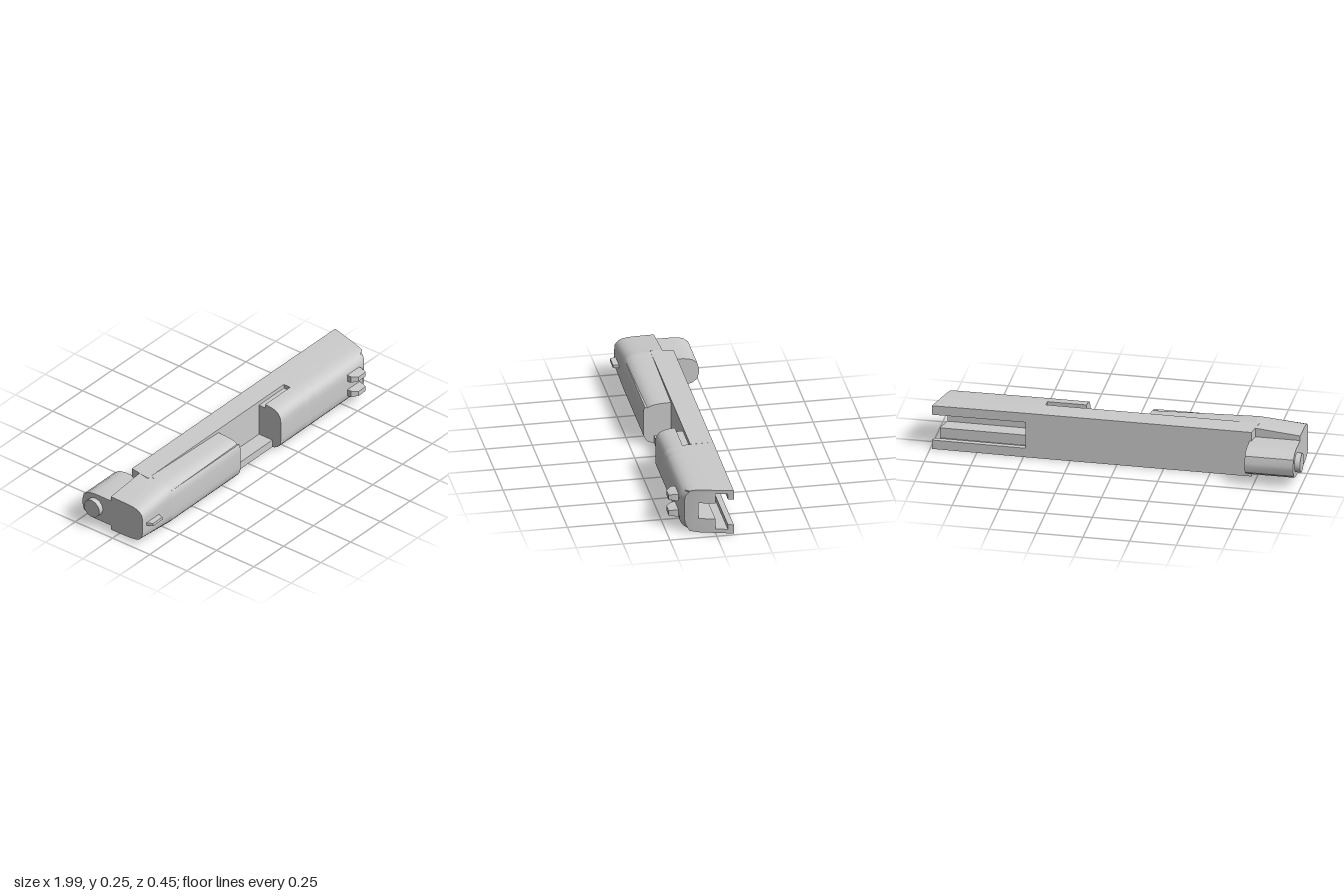
import * as THREE from 'three';
import { toCreasedNormals } from 'three/addons/utils/BufferGeometryUtils.js';

const MID = 0.1275; // middle height of the symmetric section
const BACK = -0.093; // flat rear face

// Half of the rounded section: [z, distance from MID]
const ROUND = [[0.08, 0.126], [0.11, 0.123], [0.133, 0.118], [0.155, 0.107], [0.168, 0.091], [0.175, 0.075], [0.177, 0.045]];

const material = new THREE.MeshStandardMaterial({ color: 0xcccccc });

export function createModel() {
  const model = new THREE.Group();

  const add = (name, geometry) => {
    const mesh = new THREE.Mesh(toCreasedNormals(geometry, 0.55), material);
    mesh.name = name;
    model.add(mesh);
    return mesh;
  };

  // Extrude a [z, y] section from x0 to x1; warp(v, t) moves vertices, t runs 0..1
  const prism = (name, section, x0, x1, warp, steps = 1) => {
    const shape = new THREE.Shape(section.map(([z, y]) => new THREE.Vector2(-z, y)));
    const geometry = new THREE.ExtrudeGeometry(shape, { depth: x1 - x0, steps, bevelEnabled: false });
    geometry.rotateY(Math.PI / 2).translate(x0, 0, 0);
    if (warp) {
      const p = geometry.attributes.position;
      const v = new THREE.Vector3();
      for (let i = 0; i < p.count; i++) {
        v.fromBufferAttribute(p, i);
        warp(v, (v.x - x0) / (x1 - x0));
        p.setXYZ(i, v.x, v.y, v.z);
      }
    }
    return add(name, geometry);
  };

  const box = (z0, z1, y0 = 0, y1 = 2 * MID) => [[z0, y0], [z1, y0], [z1, y1], [z0, y1]];

  // Rounded outline from z0 forward; extra points close it along the back or cut the upper side
  const outline = (z0, upper = [], back = []) => [
    [z0, 0],
    ...ROUND.map(([z, h]) => [z, MID - h]),
    ...[...ROUND].reverse().map(([z, h]) => [z, MID + h]),
    ...upper,
    [z0, 2 * MID],
    ...back,
  ];

  // Narrow toward the front end
  const noseTaper = (v, t) => { v.y = MID + (v.y - MID) * (0.81 + 0.19 * t); };
  // Upper side sinks gradually toward the opening
  const sink = (v) => {
    if (v.y > 0.23) v.y -= 0.02 * THREE.MathUtils.clamp((v.x + 0.72) / 0.575, 0, 1);
  };

  // Front block
  prism('noseCover', outline(-0.035), -0.97, -0.72, noseTaper);
  prism('frontCover', outline(0.03), -0.72, -0.145, sink);

  // Long base running behind the opening, with a slightly sloped front edge
  prism('base', box(BACK, 0.03), -0.72, 0.195, (v, t) => {
    if (t < 0.5 && v.z > 0) v.x -= 0.02;
  });

  // Lower lip of the opening
  prism('openingLip', [[0.03, 0], [0.08, 0.0015], [0.12, 0.007], [0.12, 0.05], [0.03, 0.05]], -0.145, 0.195);

  // Middle block with the narrow side slot, then a solid stretch
  const slot = [[0.072, 2 * MID - 0.001], [0.072, 0.232], [0.03, 0.232], [0.03, 2 * MID]];
  prism('slottedBlock', outline(BACK, slot), 0.195, 0.405);
  prism('middleBlock', outline(BACK), 0.405, 0.49);

  // Rear block with the stepped channel, slanted end and softened front edge
  const channel = [
    [BACK, 0.202], [-0.063, 0.202], [-0.063, 0.233], [0, 0.233], [0, 0.175], [0.087, 0.175],
    [0.087, 0.083], [0, 0.083], [0, 0.024], [-0.063, 0.024], [-0.063, 0.052], [BACK, 0.052],
  ];
  prism('rearBlock', outline(BACK, [], channel), 0.49, 0.99, (v, t) => {
    const z = v.z;
    v.y = MID + (v.y - MID) * (1 - 0.02 * t);
    if (t > 0.99 && z > 0.15) v.z -= 0.02;
    v.x = 0.49 + t * (0.5 - (z - BACK) * 0.26);
  }, 12);

  // Rounded housing under the nose
  const half = [[-0.03, 0.077], [-0.14, 0.077], [-0.17, 0.073], [-0.19, 0.067], [-0.217, 0.047], [-0.227, 0.01]];
  prism('rodHousing', [
    ...half.map(([z, h]) => [z, MID + h]),
    ...[...half].reverse().map(([z, h]) => [z, MID - h]),
  ], -0.97, -0.71);

  // Rod end
  const rod = new THREE.CylinderGeometry(0.052, 0.052, 0.04, 12);
  rod.rotateZ(Math.PI / 2);
  add('rodEnd', rod).position.set(-0.98, MID, -0.14);

  // Small posts: [x, z] profile extruded in height, narrowed toward the tip
  const post = (name, profile, y, height, tip, narrow) => {
    const shape = new THREE.Shape(profile.map(([x, z]) => new THREE.Vector2(x, -z)));
    const geometry = new THREE.ExtrudeGeometry(shape, { depth: height, bevelEnabled: false });
    geometry.translate(0, 0, -height / 2).rotateX(-Math.PI / 2);
    const p = geometry.attributes.position;
    for (let i = 0; i < p.count; i++) {
      if (p.getZ(i) > tip - 0.01) p.setY(i, p.getY(i) * narrow);
    }
    add(name, geometry).position.y = y;
  };
  post('frontPost', [[-0.94, 0.165], [-0.83, 0.165], [-0.84, 0.208], [-0.92, 0.208]], MID, 0.017, 0.208, 1);
  for (const side of [-1, 1]) {
    post('rearPost', [[0.755, 0.165], [0.855, 0.165], [0.855, 0.19], [0.845, 0.228], [0.785, 0.228], [0.755, 0.2]],
      MID + side * 0.0455, 0.038, 0.228, 0.72);
  }

  return model;
}
